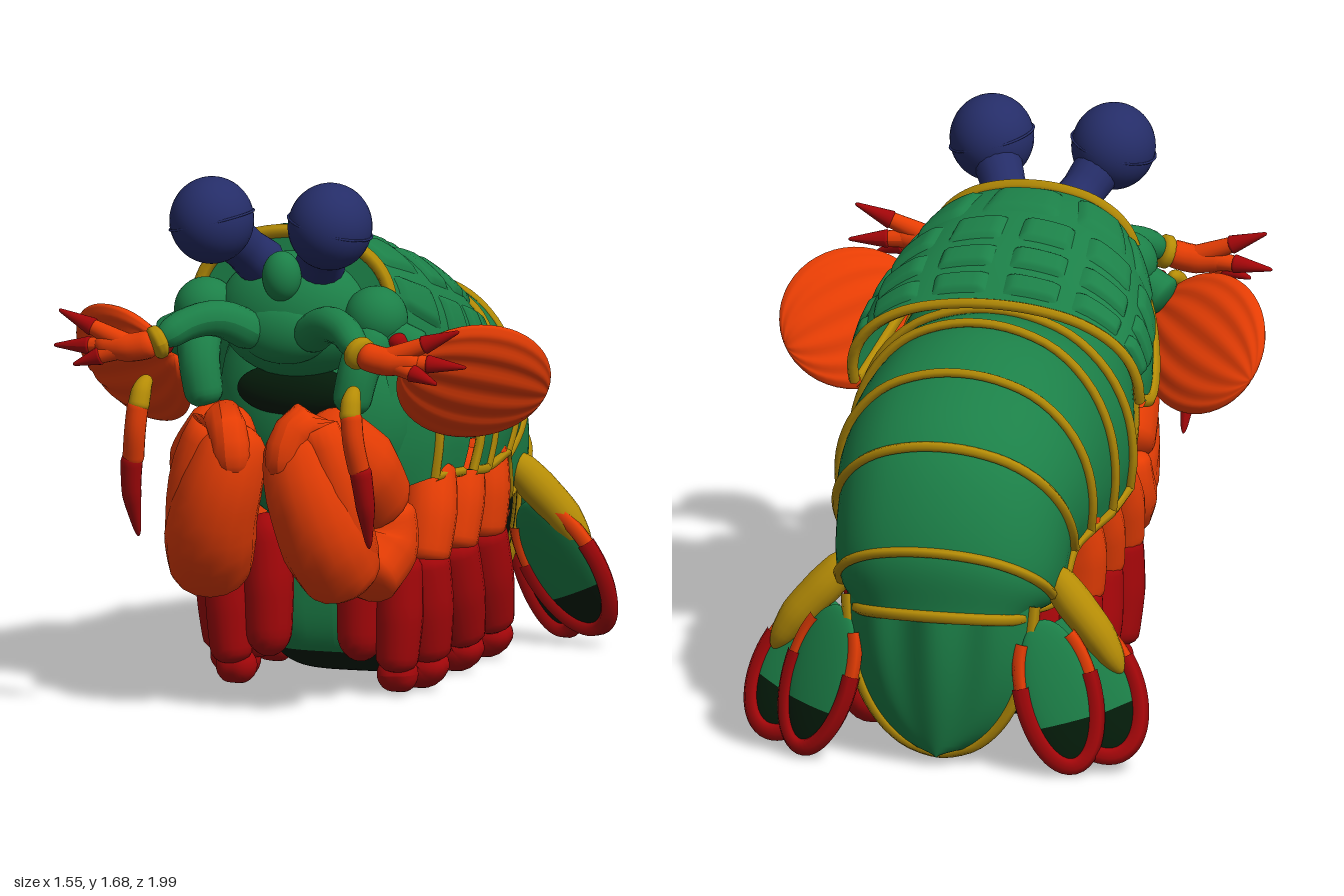
import * as THREE from 'three';

const V = (x, y, z) => new THREE.Vector3(x, y, z);
const mat = (name, color, side = THREE.FrontSide) => {
  const m = new THREE.MeshStandardMaterial({ color, side });
  m.name = name;
  return m;
};

// Smooth surface from a rule f(a, b) -> Vector3; it faces along dA x dB
function grid(f, na, nb) {
  const pos = [], idx = [];
  for (let i = 0; i <= na; i++)
    for (let j = 0; j <= nb; j++) pos.push(...f(i / na, j / nb).toArray());
  for (let i = 0; i < na; i++)
    for (let j = 0; j < nb; j++) {
      const p = i * (nb + 1) + j, q = p + nb + 1;
      idx.push(p, q, p + 1, q, q + 1, p + 1);
    }
  const g = new THREE.BufferGeometry();
  g.setAttribute('position', new THREE.Float32BufferAttribute(pos, 3));
  g.setIndex(idx);
  g.computeVertexNormals();
  return g;
}

// Half outline of the shell section: x as a share of the width, y as a share of the height
const half = [[0.96, 0], [1, 0.2], [0.97, 0.45], [0.84, 0.68], [0.6, 0.87], [0.3, 0.97]];
const arch = new THREE.CatmullRomCurve3([
  ...half.map(([x, y]) => V(x, y, 0)), V(0, 1, 0),
  ...half.slice().reverse().map(([x, y]) => V(-x, y, 0)),
]);

// Shell surface from keys [topZ, topY, edgeZ, edgeY, halfWidth]; flare widens the lower edge
function shell(keys, flare = 0) {
  const top = new THREE.CatmullRomCurve3(keys.map(k => V(0, k[1], k[0])));
  const edge = new THREE.CatmullRomCurve3(keys.map(k => V(k[4], k[3], k[2])));
  return (s, u) => {
    const t = top.getPoint(s), e = edge.getPoint(s), a = arch.getPoint(u);
    const v = THREE.MathUtils.clamp(a.y, 0, 1);
    return V(a.x * e.x * (1 + flare * (1 - v) ** 4), THREE.MathUtils.lerp(e.y, t.y, a.y),
      THREE.MathUtils.lerp(e.z, t.z, v ** 0.75));
  };
}

export function createModel() {
  const root = new THREE.Group();
  root.name = 'mantisShrimp';
  const green = mat('shell green', 0x1c8048, THREE.DoubleSide);
  const yellow = mat('rim yellow', 0xb58c06);
  const orange = mat('claw orange', 0xe63d04);
  const red = mat('leg red', 0xa30609);
  const navy = mat('eye navy', 0x252d68);
  const dark = mat('underside dark green', 0x041c0a, THREE.DoubleSide);

  const add = (name, geo, m) => {
    const mesh = new THREE.Mesh(geo, m);
    mesh.name = name;
    root.add(mesh);
    return mesh;
  };
  const ball = (name, c, r, m) =>
    add(name, new THREE.SphereGeometry(1, 32, 22).scale(...r).translate(...c), m);
  const tube = (name, pts, m, r) =>
    add(name, new THREE.TubeGeometry(new THREE.CatmullRomCurve3(pts), 40, r, 6), m);
  const line = (n, f) => Array.from({ length: n + 1 }, (_, i) => f(i / n));

  // Rounded, tapering limb through points; d mirrors it
  function limb(name, d, pts, radii, m, cap = 0.18) {
    const p = pts.map(q => V(q[0] * d, q[1], q[2]));
    const c = new THREE.CatmullRomCurve3(p);
    const dir = p[p.length - 1].clone().sub(p[0]).toArray().map(Math.abs);
    const ref = V(0, 0, 0).setComponent(dir.indexOf(Math.min(...dir)), 1);
    const f = (a, b) => {
      const s = (1 - Math.cos(Math.PI * a)) / 2;
      const k = s * (radii.length - 1), i = Math.min(Math.floor(k), radii.length - 2);
      const e = Math.min(1, Math.min(s, 1 - s) / cap);
      const r = THREE.MathUtils.lerp(radii[i], radii[i + 1], k - i) * Math.sqrt(1 - (1 - e) ** 2);
      const t = c.getTangentAt(s), n = ref.clone().cross(t).normalize(), w = t.clone().cross(n);
      const g = -b * Math.PI * 2;
      return c.getPointAt(s).addScaledVector(n, r * Math.cos(g)).addScaledVector(w, r * Math.sin(g));
    };
    return add(name, grid(f, 20, 16), m);
  }

  // Matrix for a flat leaf lying along `axis` with its width along `side`
  function leafMatrix(d, c, axis, side) {
    const y = V(axis[0] * d, axis[1], axis[2]).normalize();
    const x = V(side[0] * d, side[1], side[2]);
    x.addScaledVector(y, -x.dot(y)).normalize();
    return new THREE.Matrix4().makeBasis(x, y, x.clone().cross(y)).setPosition(c[0] * d, c[1], c[2]);
  }

  const seam = (f, s, r = 0.016, u0 = 0, u1 = 1) =>
    tube('shellRim', line(28, t => f(s, u0 + (u1 - u0) * t)), yellow, r);
  const edges = (f, s0, s1, r = 0.016) => [0, 1].forEach(u =>
    tube('shellEdge', line(8, t => f(s0 + (s1 - s0) * t, u)), yellow, r));
  const belly = (name, f) =>
    add(name, grid((s, u) => f(s, 1).lerp(f(s, 0), u), 16, 4), dark);

  // Thorax
  const thorax = shell([[0.42, 1.33, 0.3, 0.66, 0.29], [0.2, 1.35, 0.19, 0.69, 0.38], [-0.1, 1.24, 0, 0.68, 0.41]]);
  add('thorax', grid(thorax, 16, 40), green);
  belly('thoraxUnderside', thorax);
  ball('chest', [0, 0.9, 0.24], [0.33, 0.38, 0.26], green);
  seam(thorax, 0.5, 0.018, 0, 0.25);
  seam(thorax, 0.5, 0.018, 0.75, 1);
  edges(thorax, 0.5, 1);

  // Abdomen in overlapping rings
  const abdomen = shell([
    [-0.12, 1.265, -0.03, 0.68, 0.435], [-0.29, 1.275, -0.21, 0.66, 0.42], [-0.57, 1.2, -0.44, 0.67, 0.405],
    [-0.83, 1.04, -0.53, 0.64, 0.375], [-0.98, 0.74, -0.63, 0.5, 0.34], [-0.975, 0.53, -0.7, 0.48, 0.27]]);
  for (let i = 0; i < 5; i++) {
    add('abdomenRing', grid((t, u) => {
      const s = (i + t) / 5, p = abdomen(s, u), mid = abdomen(s, 0).lerp(abdomen(s, 1), 0.5);
      return p.sub(mid).multiplyScalar(1 - 0.02 * (1 - t) ** 3).add(mid);
    }, 12, 40), green);
    seam(abdomen, i / 5);
    edges(abdomen, i / 5, (i + 1) / 5);
  }
  seam(abdomen, 1, 0.02);
  belly('abdomenUnderside', abdomen);
  const tailMid = abdomen(1, 0).lerp(abdomen(1, 1), 0.5);
  add('tailCap', grid((a, u) => abdomen(1, u).lerp(tailMid, a), 3, 40), green);

  // Carapace with flared rim and raised plates
  const carapace = shell([[0.45, 1.49, 0.49, 1.22, 0.31], [0.35, 1.485, 0.39, 1.12, 0.37],
    [0.2, 1.455, 0.22, 1.02, 0.425], [0, 1.385, 0.03, 0.96, 0.455], [-0.14, 1.29, -0.06, 0.98, 0.445]], 0.07);
  add('carapace', grid(carapace, 28, 48), green);
  const noseMid = V(0, 1.25, 0.5);
  add('carapaceFront', grid((a, u) => noseMid.clone().lerp(carapace(0, u), a), 3, 40), green);
  seam(carapace, 0, 0.022);
  seam(carapace, 1, 0.018);
  edges(carapace, 0, 1, 0.022);
  const mirrored = c => [...c, ...c.map(([a, b]) => [1 - b, 1 - a])];
  const small = mirrored([[0.1, 0.21], [0.235, 0.35], [0.375, 0.485]]);
  const plateRows = [[0.1, 0.42, [[0.41, 0.59], ...mirrored([[0.11, 0.22], [0.25, 0.38]])]],
    [0.47, 0.62, small], [0.66, 0.78, small], [0.82, 0.94, small]];
  for (const [s0, s1, cols] of plateRows)
    for (const [u0, u1] of cols)
      add('carapacePlate', grid((a, b) => {
        const s = s0 + (s1 - s0) * a, p = carapace(s, u0 + (u1 - u0) * b);
        const out = p.clone().sub(V(0, 1.0, p.z)).normalize();
        const e = Math.min(1, Math.min(a, 1 - a) * 6) * Math.min(1, Math.min(b, 1 - b) * 6);
        return p.addScaledVector(out, -0.004 + 0.019 * Math.sqrt(e));
      }, 12, 12), green);

  // Head and mouth
  ball('head', [0, 1.23, 0.46], [0.25, 0.2, 0.17], green);
  ball('rostrum', [0, 1.37, 0.6], [0.062, 0.08, 0.06], green);
  ball('snout', [0, 1.19, 0.58], [0.15, 0.1, 0.07], green);
  ball('mouth', [0, 0.99, 0.47], [0.19, 0.085, 0.06], dark);

  // Swimmeret mass under the belly
  const mass = (t0, t1) => (a, b) => {
    const pw = v => Math.sign(v) * Math.abs(v) ** 0.55;
    const th = (t0 + (t1 - t0) * a) * Math.PI, ph = b * Math.PI * 2, r = pw(Math.sin(th));
    return V(0.28 * r * pw(Math.sin(ph)), 0.345 + 0.33 * pw(Math.cos(th)), -0.21 + 0.32 * r * pw(Math.cos(ph)));
  };
  add('swimmeretsTop', grid(mass(0, 0.36), 8, 48), dark);
  add('swimmerets', grid(mass(0.36, 0.7), 14, 48), green);
  add('swimmeretsUnderside', grid(mass(0.7, 1), 10, 48), dark);

  // Telson: curved shield with rim
  const tail = (t, v, o = 0) => {
    const s = 2 * v - 1, w = 0.27 * Math.sqrt(Math.max(0, 1 - t ** 2.6)) + 0.03 * (1 - t);
    const ridge = 0.015 * Math.cos(s * Math.PI * 3) * (1 - t);
    return V(-s * w, 0.54 - 0.5 * t, -0.965 + 0.07 * t * t + 0.12 * s * s * (1 - t * 0.5) - ridge + o);
  };
  add('telson', grid((t, v) => tail(t, 1 - v), 24, 30), green);
  add('telsonUnderside', grid((t, v) => tail(t, v, 0.02), 24, 30), dark);
  tube('telsonRim', [...line(20, t => tail(t, 0)), ...line(20, t => tail(1 - t, 1)).slice(1)], yellow, 0.02);

  for (const d of [1, -1]) {
    // Eyes
    limb('eyeStalk', d, [[0.08, 1.37, 0.48], [0.13, 1.45, 0.58], [0.18, 1.53, 0.67]], [0.085, 0.07, 0.08], navy);
    ball('eye', [0.195 * d, 1.555, 0.705], [0.132, 0.137, 0.14], navy);
    add('eyeBand', new THREE.TorusGeometry(0.135, 0.004, 6, 48).rotateX(Math.PI / 2)
      .rotateZ(-0.25 * d).translate(0.195 * d, 1.555, 0.705), navy);

    // Cheeks and mouth limbs
    ball('cheek', [0.28 * d, 1.24, 0.51], [0.1, 0.1, 0.1], green);
    limb('mouthLimb', d, [[0.29, 1.2, 0.54], [0.265, 1.1, 0.62], [0.235, 0.95, 0.64]], [0.075, 0.065, 0.06], green);

    // Forked antennules
    limb('antennuleArm', d, [[0.07, 1.17, 0.58], [0.18, 1.24, 0.68], [0.26, 1.23, 0.75], [0.33, 1.18, 0.83]], [0.065, 0.06, 0.052, 0.045], green);
    limb('antennuleRing', d, [[0.31, 1.19, 0.81], [0.355, 1.17, 0.84]], [0.054, 0.054], yellow, 0.4);
    limb('antennuleBase', d, [[0.33, 1.18, 0.83], [0.42, 1.16, 0.835], [0.54, 1.165, 0.83]], [0.045, 0.045, 0.03], orange);
    for (const [x, y, z] of [[0.66, 1.265, 0.82], [0.68, 1.15, 0.81], [0.6, 1.1, 0.86]]) {
      const at = k => [0.42 + (x - 0.42) * k, 1.165 + (y - 1.165) * k, 0.835 + (z - 0.835) * k];
      limb('antennuleProng', d, [at(0), at(0.68)], [0.036, 0.022], orange, 0.06);
      limb('antennuleTip', d, [at(0.5), at(1)], [0.031, 0.005], red, 0.06);
    }

    // Hanging feelers
    limb('feelerTop', d, [[0.34, 1.08, 0.89], [0.345, 1.05, 0.94], [0.35, 0.98, 0.97]], [0.018, 0.032, 0.035], yellow);
    limb('feelerMiddle', d, [[0.35, 1.02, 0.96], [0.36, 0.92, 0.965], [0.375, 0.81, 0.94]], [0.034, 0.034, 0.034], orange, 0.1);
    limb('feelerTip', d, [[0.375, 0.85, 0.95], [0.385, 0.72, 0.925], [0.38, 0.57, 0.87]], [0.036, 0.03, 0.008], red, 0.1);

    // Ribbed side paddles
    const paddle = new THREE.SphereGeometry(1, 96, 24), pos = paddle.attributes.position;
    for (let i = 0; i < pos.count; i++)
      pos.setZ(i, pos.getZ(i) * (1 + 0.09 * Math.cos(14 * Math.atan2(pos.getZ(i), pos.getX(i)))));
    paddle.scale(0.225, 0.25, 0.055)
      .applyMatrix4(leafMatrix(d, [0.56, 1.035, 0.385], [0.7, -0.22, -0.6], [0.45, 0.75, 0.25]));
    paddle.computeVertexNormals();
    add('sidePaddle', paddle, orange);
    limb('paddleBase', d, [[0.3, 1.2, 0.52], [0.42, 1.13, 0.49]], [0.06, 0.07], green);
    limb('paddleSpine', d, [[0.36, 1.2, 0.57], [0.41, 1.1, 0.55]], [0.03, 0.025], red);

    // Folded striking claws
    limb('clawFist', d, [[0.1, 0.92, 0.72], [0.12, 0.8, 0.77], [0.18, 0.6, 0.75], [0.23, 0.4, 0.61]], [0.1, 0.13, 0.145, 0.125], orange, 0.14);
    limb('clawFinger', d, [[0.08, 0.76, 0.84], [0.1, 0.9, 0.82], [0.15, 0.945, 0.77], [0.21, 0.84, 0.77], [0.25, 0.6, 0.72], [0.26, 0.45, 0.62]], [0.06, 0.062, 0.07, 0.085, 0.09, 0.08], orange, 0.1);
    limb('clawArm', d, [[0.15, 0.93, 0.7], [0.23, 0.78, 0.58], [0.27, 0.62, 0.43]], [0.1, 0.14, 0.115], orange, 0.14);
    limb('clawElbow', d, [[0.27, 0.66, 0.43], [0.27, 0.52, 0.44], [0.24, 0.4, 0.57]], [0.1, 0.125, 0.11], orange, 0.14);

    // Walking legs
    for (const [z, lean] of [[0.1, 0.1], [-0.17, 0.1], [-0.38, 0.03]]) {
      const k = z + lean, foot = z > 0 ? k - 0.05 : k - 0.12;
      limb('upperLeg', d, [[0.31, 0.72, z - 0.02], [0.335, 0.58, z + lean * 0.5], [0.33, 0.41, k]], [0.085, 0.088, 0.08], orange, 0.12);
      limb('lowerLeg', d, [[0.325, 0.46, k - 0.01], [0.335, 0.28, (k + foot) / 2], [0.33, 0.1, foot]], [0.085, 0.085, 0.072], red, 0.12);
      limb('innerLowerLeg', d, [[0.24, 0.44, k - 0.03], [0.24, 0.26, (k + foot) / 2 - 0.03], [0.24, 0.08, foot - 0.03]], [0.075, 0.08, 0.065], red, 0.12);
      limb('foot', d, [[0.35, 0.13, foot], [0.32, 0.08, foot - 0.02], [0.23, 0.07, foot - 0.01]], [0.06, 0.065, 0.055], red, 0.3);
    }
    limb('frontLeg', d, [[0.17, 0.56, 0.25], [0.155, 0.35, 0.27], [0.15, 0.11, 0.28]], [0.07, 0.08, 0.07], red);
    limb('frontLegOuter', d, [[0.28, 0.46, 0.27], [0.28, 0.25, 0.28], [0.27, 0.08, 0.28]], [0.07, 0.075, 0.065], red, 0.12);
    limb('frontFoot', d, [[0.33, 0.075, 0.25], [0.2, 0.07, 0.26]], [0.06, 0.055], red, 0.4);

    // Tail fan blades with coloured rims and dark tips
    limb('fanBase', d, [[0.31, 0.62, -0.68], [0.4, 0.52, -0.71], [0.48, 0.43, -0.73], [0.56, 0.31, -0.74]], [0.05, 0.06, 0.055, 0.03], yellow);
    for (const [c, axis, L, W] of [[[0.465, 0.27, -0.765], [0.45, -0.87, -0.2], 0.23, 0.135], [[0.38, 0.27, -0.855], [0.25, -0.95, -0.1], 0.235, 0.11]]) {
      const m = leafMatrix(d, c, axis, [0.8, 0.42, 0.4]);
      const part = (a, b) => new THREE.SphereGeometry(1, 32, 16, 0, Math.PI * 2, a, b).scale(W, L, 0.03).applyMatrix4(m);
      const rim = (name, a, b, mt, r) => tube(name, line(16, t => {
        const g = a + (b - a) * t;
        return V(W * Math.sin(g), L * Math.cos(g), 0).applyMatrix4(m);
      }), mt, r);
      add('fanBlade', part(1.15, Math.PI - 1.15), green);
      add('fanBladeTip', part(0, 1.15), dark);
      rim('fanRim', -1.75, 1.75, red, 0.03);
      rim('fanRimOuter', 1.7, 2.4, orange, 0.024);
      rim('fanRimInner', -2.4, -1.7, orange, 0.024);
    }
  }
  return root;
}
